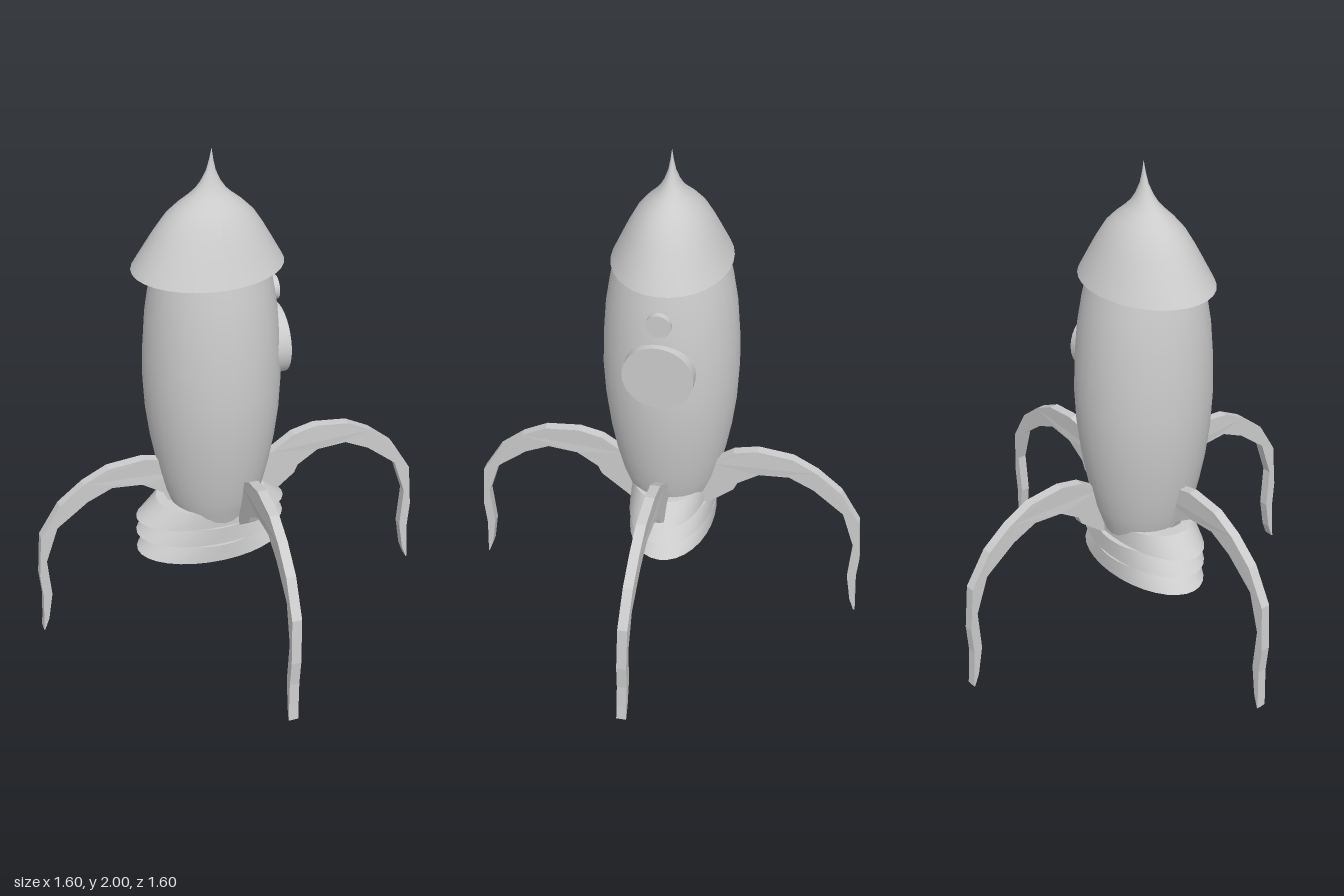
import * as THREE from 'three';

const CX = -0.075; // hull axis
const material = new THREE.MeshStandardMaterial({ color: 0xcccccc, side: THREE.DoubleSide });
const points = list => list.map(([x, y]) => new THREE.Vector2(x, y));

export function createModel() {
  const model = new THREE.Group();
  model.name = 'rocket';
  const add = (name, geometry, x = 0, y = 0, z = 0) => {
    const mesh = new THREE.Mesh(geometry, material);
    mesh.name = name;
    mesh.position.set(x, y, z);
    model.add(mesh);
    return mesh;
  };

  // Barrel-shaped hull
  add('hull', new THREE.LatheGeometry(points([
    [0.16, 0.48], [0.18, 0.54], [0.2, 0.6], [0.222, 0.7], [0.243, 0.82], [0.258, 0.95],
    [0.264, 1.08], [0.26, 1.22], [0.248, 1.37], [0.23, 1.48], [0.215, 1.555],
  ]), 28), CX);

  // Oval nose cone that leans slightly towards its tip
  const cone = new THREE.LatheGeometry(points([
    [0.286, 1.553], [0.238, 1.635], [0.205, 1.69], [0.167, 1.746], [0.125, 1.787], [0.084, 1.82],
    [0.058, 1.845], [0.037, 1.875], [0.018, 1.915], [0.008, 1.955], [0, 2],
  ]), 32);
  cone.scale(1, 1, 0.79);
  const cp = cone.attributes.position;
  for (let i = 0; i < cp.count; i++) {
    cp.setX(i, cp.getX(i) + 0.018 * (cp.getY(i) - 1.553) / 0.447);
  }
  cone.computeVertexNormals();
  add('noseCone', cone, -0.086);
  const base = new THREE.CircleGeometry(0.286, 32);
  base.rotateX(Math.PI / 2);
  base.scale(1, 1, 0.79);
  add('noseConeBase', base, -0.086, 1.553);

  // Stacked nozzle rings: they flare sideways but stay straight front to back
  [[0.305, 0.175], [0.39, 0.175], [0.465, 0.16]].forEach(([y, depth], i) => {
    const ring = new THREE.CylinderGeometry(1, 1, 0.076, 32);
    const p = ring.attributes.position;
    for (let k = 0; k < p.count; k++) {
      p.setX(k, p.getX(k) * (p.getY(k) > 0 ? 0.222 : 0.307));
      p.setZ(k, p.getZ(k) * depth);
    }
    const flat = ring.toNonIndexed();
    flat.dispose();
    ring.computeVertexNormals();
    add('nozzleRing' + (i + 1), ring, -0.085, y + 0.038, i < 2 ? -0.006 : 0);
  });
  add('nozzleCore', new THREE.CylinderGeometry(0.155, 0.155, 0.2, 24), CX, 0.42);

  // Round windows on the left side
  const porthole = (name, radius, y, outer) => {
    const g = new THREE.CylinderGeometry(radius, radius, 0.12, 32);
    g.rotateZ(-Math.PI / 2);
    add(name, g, outer - 0.06, y);
  };
  porthole('largePorthole', 0.135, 1.195, 0.199);
  porthole('smallPorthole', 0.047, 1.412, 0.181);

  // Arched legs, with the feet drifting a little to one side
  const outline = new THREE.Shape(points([
    [0.12, 0.63], [0.17, 0.67], [0.265, 0.735], [0.36, 0.757], [0.5, 0.742], [0.6, 0.69], [0.7, 0.607],
    [0.782, 0.47], [0.798, 0.28], [0.79, 0.17], [0.795, 0.07], [0.8, 0],
    [0.795, 0], [0.775, 0.055], [0.755, 0.18], [0.766, 0.35], [0.715, 0.505], [0.59, 0.605],
    [0.49, 0.652], [0.37, 0.642], [0.285, 0.585], [0.27, 0.55], [0.15, 0.45], [0.1, 0.5],
  ].reverse()));
  const leg = new THREE.ExtrudeGeometry(outline, { depth: 0.038, bevelEnabled: false });
  leg.translate(0, 0, -0.019);
  const lp = leg.attributes.position;
  for (let i = 0; i < lp.count; i++) {
    const reach = THREE.MathUtils.clamp((lp.getX(i) - 0.36) / 0.44, 0, 1);
    const drop = 1 - lp.getY(i) / 0.757;
    lp.setZ(i, lp.getZ(i) - 0.004 + 0.024 * reach * (0.4 + 0.6 * drop));
  }
  leg.computeVertexNormals();
  ['left', 'back', 'right', 'front'].forEach((side, i) => {
    add(side + 'Leg', leg).rotation.y = i * Math.PI / 2;
  });

  return model;
}
